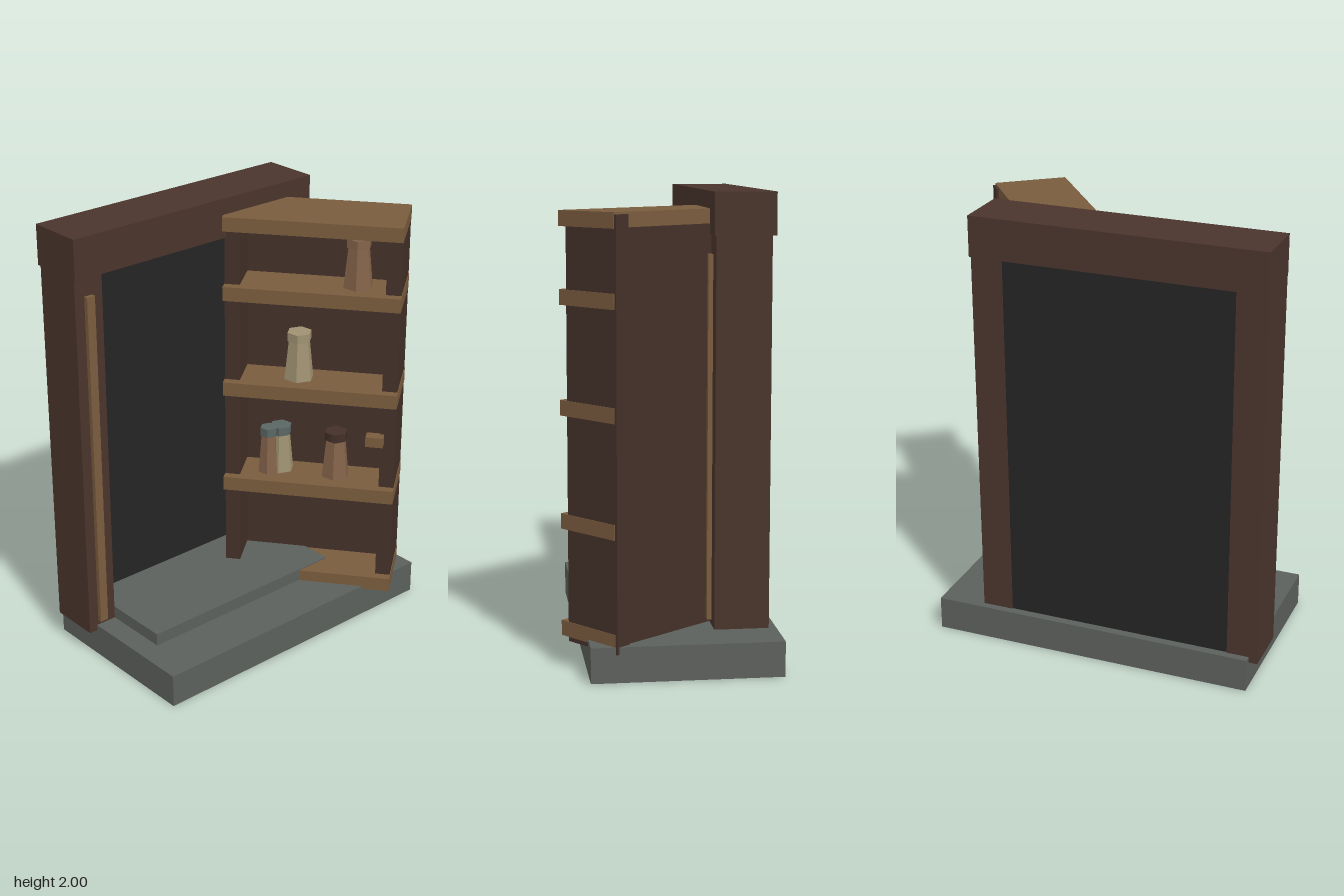
import * as THREE from 'three';

const mat = (name, color) => {
  const m = new THREE.MeshStandardMaterial({ color });
  m.name = name;
  return m;
};

export function createModel() {
  const stone = mat('stone', 0x5c605c);
  const frameWood = mat('frame wood', 0x4a352c);
  const caseWood = mat('case wood', 0x443029);
  const shelfWood = mat('shelf wood', 0x7a5c3e);
  const dark = mat('dark void', 0x242424);
  const clay = mat('clay', 0x84634a);
  const cream = mat('cream', 0xa09272);
  const slate = mat('slate lid', 0x5a6663);

  const model = new THREE.Group();
  model.name = 'hiddenBookcaseDoor';

  // Box given by its minimum and maximum on each axis
  const box = (parent, name, material, x0, x1, y0, y1, z0, z1) => {
    const mesh = new THREE.Mesh(new THREE.BoxGeometry(x1 - x0, y1 - y0, z1 - z0), material);
    mesh.position.set((x0 + x1) / 2, (y0 + y1) / 2, (z0 + z1) / 2);
    mesh.name = name;
    parent.add(mesh);
  };

  // Stone base and threshold step
  box(model, 'base', stone, -0.72, 0.752, 0, 0.152, -0.458, 0.355);
  box(model, 'step', stone, -0.62, 0.405, 0.15, 0.21, -0.356, 0.12);

  // Doorway frame with the dark passage behind it
  box(model, 'lintel', frameWood, -0.76, 0.545, 1.82, 2, -0.443, -0.183);
  box(model, 'rightPost', frameWood, -0.76, -0.62, 0.125, 1.82, -0.425, -0.19);
  box(model, 'leftPost', frameWood, 0.405, 0.545, 0.125, 1.82, -0.425, -0.19);
  box(model, 'passage', dark, -0.62, 0.405, 0.15, 1.82, -0.42, -0.355);
  box(model, 'rightTrim', shelfWood, -0.712, -0.672, 0.175, 1.74, -0.192, -0.17);
  box(model, 'leftTrim', shelfWood, 0.425, 0.465, 0.175, 1.74, -0.192, -0.17);

  // Bookcase swung open; its local z is the direction of its open face
  const bookcase = new THREE.Group();
  bookcase.name = 'bookcase';
  bookcase.rotation.y = THREE.MathUtils.degToRad(-52);
  model.add(bookcase);

  box(bookcase, 'innerSide', caseWood, -0.121, -0.053, 0.12, 1.918, -0.447, -0.151);
  box(bookcase, 'outerSide', caseWood, 0.593, 0.661, 0.12, 1.918, -0.447, -0.151);
  box(bookcase, 'backPanel', caseWood, -0.053, 0.593, 0.155, 1.865, -0.445, -0.333);
  for (const y of [0.139, 0.6, 1.08, 1.54, 1.862])
    box(bookcase, 'shelf', shelfWood, -0.123, 0.664, y, y + 0.065, -0.436, -0.11);
  box(bookcase, 'handle', shelfWood, 0.53, 0.61, 0.885, 0.932, -0.16, -0.105);

  // Low-poly tapered jars with lids
  const jar = (x, y, z, r, h, material, lidMaterial) => {
    const group = new THREE.Group();
    group.name = 'jar';
    group.position.set(x, y, z);
    const body = new THREE.Mesh(new THREE.CylinderGeometry(r * 0.72, r, h, 6), material);
    body.position.y = h / 2;
    body.name = 'jarBody';
    const lid = new THREE.Mesh(new THREE.CylinderGeometry(r * 0.82, r * 0.82, 0.04, 6), lidMaterial);
    lid.position.y = h + 0.02;
    lid.name = 'jarLid';
    group.add(body, lid);
    bookcase.add(group);
  };
  for (const m of [clay, cream]) m.flatShading = true;
  slate.flatShading = true;
  jar(0.46, 1.605, -0.235, 0.07, 0.185, clay, clay);
  jar(0.203, 1.145, -0.235, 0.07, 0.185, cream, cream);
  jar(0.12, 0.665, -0.255, 0.062, 0.185, cream, slate);
  jar(0.07, 0.665, -0.22, 0.05, 0.185, clay, slate);
  jar(0.38, 0.665, -0.235, 0.066, 0.185, clay, caseWood);

  return model;
}
